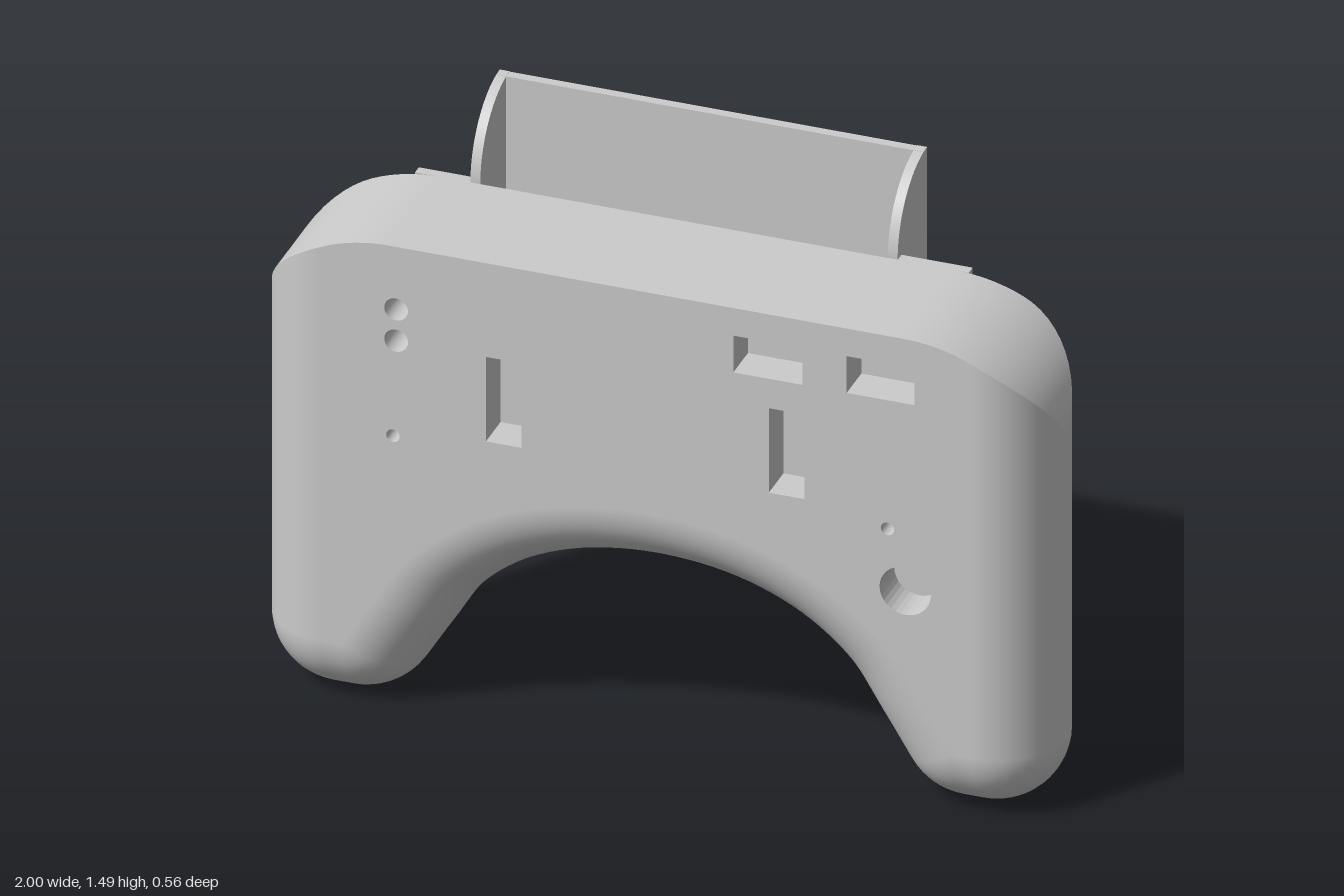
import * as THREE from 'three';

const R = 0.177, ZC = 0.098, FRONT = ZC + R, BACK = ZC - R; // body edge radius and depth
const SX = 1 - R;                                            // where the side rounding starts
const TOP = 1.285;
const STEPS = 24;

const grey = (side = THREE.FrontSide) => new THREE.MeshStandardMaterial({ color: 0xcccccc, side });

function add(parent, name, geometry, side) {
  const mesh = new THREE.Mesh(geometry, grey(side));
  mesh.name = name;
  parent.add(mesh);
  return mesh;
}

// Height of the body's top edge: flat, with elliptical corners
function topY(x) {
  const u = Math.max(0, Math.abs(x) - 0.65) / 0.35;
  return 1 + 0.285 * Math.sqrt(Math.max(0, 1 - u * u));
}

// Smooth surface from rows of points; fn(i, j) returns [x, y, z, nx, ny, nz]
function grid(rows, cols, fn) {
  const pos = [], nor = [], idx = [];
  for (let i = 0; i < rows; i++) {
    for (let j = 0; j < cols; j++) {
      const v = fn(i, j);
      pos.push(...v.slice(0, 3));
      nor.push(...v.slice(3));
      if (i < rows - 1 && j < cols - 1) {
        const a = i * cols + j, b = a + cols;
        idx.push(a, a + 1, b, b, a + 1, b + 1);
      }
    }
  }
  const g = new THREE.BufferGeometry();
  g.setAttribute('position', new THREE.Float32BufferAttribute(pos, 3));
  g.setAttribute('normal', new THREE.Float32BufferAttribute(nor, 3));
  g.setIndex(idx);
  return g;
}

// Edge of the flat faces with outward normals: right side, foot, arch, then mirrored
function facePath() {
  const half = [{ x: SX, y: TOP, nx: 1, ny: 0, top: true }];
  const fan = (x, y, from, to, n) => {
    for (let i = 0; i <= n; i++) {
      const a = from + (to - from) * i / n;
      half.push({ x, y, nx: Math.cos(a), ny: Math.sin(a) });
    }
  };
  const arch = new THREE.CatmullRomCurve3([
    [0.77, R], [0.70, 0.29], [0.60, 0.44], [0.44, 0.57], [0.24, 0.652], [0, 0.682], [-0.24, 0.652],
  ].map(([x, y]) => new THREE.Vector3(x, y, 0)));
  const t0 = arch.getTangent(0);
  fan(SX, R, 0, -Math.PI / 2, 12);
  fan(0.77, R, -Math.PI / 2, Math.atan2(-t0.x, t0.y) - Math.PI, 8);
  // keep the fan turning the short way round
  half.splice(-9);
  const end = Math.atan2(t0.x, -t0.y);
  fan(0.77, R, -Math.PI / 2, end > 0 ? end - 2 * Math.PI : end, 8);
  const n = 30;
  for (let i = 1; i <= n; i++) {
    const t = (5 / 6) * i / n, p = arch.getPoint(t), d = arch.getTangent(t);
    half.push({ x: p.x, y: p.y, nx: d.y, ny: -d.x });
  }
  // outward means below the arch
  for (const p of half.slice(-n)) if (p.ny > 0) { p.nx *= -1; p.ny *= -1; }
  for (const p of half.slice(-n - 9, -n)) if (p.ny > 0) { p.nx *= -1; p.ny *= -1; }
  const mirrored = half.slice(0, -1).reverse().map(p => ({ ...p, x: -p.x, nx: -p.nx }));
  return [...half, ...mirrored];
}

const rectPath = (cx, cy, w, h, s = 1) => new THREE.Shape([
  [-w, -h], [w, -h], [w, h], [-w, h],
].map(([x, y]) => new THREE.Vector2(s * cx + x / 2, cy + y / 2)));

const circlePath = (cx, cy, r, s = 1) => new THREE.Shape().absarc(s * cx, cy, r, 0, Math.PI * 2);

const SCREWS = [[-0.64, 0.77], [0.61, 0.76]];
const SCREW_R = 0.017;

const pockets = () => [
  ['leftSlot', rectPath(0.355, 0.915, 0.09, 0.23)],
  ['rightSlot', rectPath(-0.36, 0.915, 0.09, 0.23)],
  ['innerPort', rectPath(0.308, 1.16, 0.175, 0.1)],
  ['outerPort', rectPath(0.593, 1.16, 0.172, 0.1)],
  ['upperLightHole', circlePath(-0.632, 1.115, 0.03)],
  ['lowerLightHole', circlePath(-0.632, 1.03, 0.03)],
  ['stickHole', circlePath(0.655, 0.6, 0.065)],
];

function makeBody() {
  const body = new THREE.Group();
  body.name = 'body';
  const path = facePath();

  // Full-round rim around the sides, feet and arch, cut off by the top edge
  add(body, 'roundedRim', grid(path.length, STEPS + 1, (i, j) => {
    const p = path[i], a = -Math.PI / 2 + Math.PI * j / STEPS, c = Math.cos(a);
    const x = p.x + p.nx * R * c;
    const y = p.top ? topY(x) : p.y + p.ny * R * c;
    return [x, y, ZC + R * Math.sin(a), p.nx * c, p.ny * c, Math.sin(a)];
  }));

  // Top surface, narrowing to a point at each end
  const right = [];
  for (let k = 0; k <= 8; k++) right.push([0.65 + (SX - 0.65) * k / 8, R]);
  for (let k = 1; k <= STEPS / 2; k++) {
    const a = Math.PI * k / STEPS;
    right.push([SX + R * Math.sin(a), R * Math.cos(a)]);
  }
  const top = [...right.map(([x, h]) => [-x, h]).reverse(), ...right];
  add(body, 'topSurface', grid(top.length, 2, (i, j) => {
    const [x, h] = top[i];
    const u = Math.max(0, Math.abs(x) - 0.65) / 0.35;
    const n = new THREE.Vector2(Math.sign(x) * u / 0.35, Math.sqrt(Math.max(0, 1 - u * u)) / 0.285).normalize();
    return [x, topY(x), ZC + (j ? h : -h), n.x, n.y, 0];
  }));

  // Flat front and back faces with their openings
  const outline = path.map(p => new THREE.Vector2(p.x, p.top ? topY(p.x) : p.y))
    .filter((p, i, all) => i === 0 || p.distanceTo(all[i - 1]) > 1e-5);
  for (let k = 7; k >= 0; k--) outline.push(new THREE.Vector2(-right[k][0], topY(right[k][0])));
  for (let k = 0; k < 8; k++) outline.push(new THREE.Vector2(right[k][0], topY(right[k][0])));
  for (const s of [1, -1]) {
    const shape = new THREE.Shape(outline);
    shape.holes = SCREWS.map(([x, y]) => circlePath(x, y, SCREW_R, s));
    if (s > 0) shape.holes.push(...pockets().map(p => p[1]));
    const g = new THREE.ShapeGeometry(shape, 16);
    if (s < 0) g.rotateY(Math.PI);
    g.translate(0, 0, s > 0 ? FRONT : BACK);
    add(body, s > 0 ? 'frontFace' : 'backFace', g);
  }

  // Recesses seen from inside, and the screw holes running right through
  for (const [name, shape] of pockets()) {
    const g = new THREE.ExtrudeGeometry(shape, { depth: 0.1, bevelEnabled: false, curveSegments: 16 });
    add(body, name, g.translate(0, 0, FRONT - 0.1), THREE.BackSide);
  }
  for (const [x, y] of SCREWS) {
    const g = new THREE.CylinderGeometry(SCREW_R, SCREW_R, 2 * R, 32, 1, true).rotateX(Math.PI / 2);
    add(body, 'screwHole', g.translate(x, y, ZC), THREE.BackSide);
  }
  return body;
}

function makeCover() {
  const cover = new THREE.Group();
  cover.name = 'rearHolder';
  const x0 = -0.575, x1 = 0.505, bottom = 0.69, back = -0.28, wall = 0.025;
  const w = x1 - x0, mid = (x0 + x1) / 2;

  // Side walls with a quarter-round upper front corner
  const profile = new THREE.Shape();
  profile.moveTo(-BACK, bottom);
  profile.lineTo(-back, bottom);
  profile.lineTo(-back, 1.485);
  profile.absarc(-back, 1.285, -back + BACK, Math.PI / 2, Math.PI, false);
  for (const x of [x0, x1 - wall]) {
    const g = new THREE.ExtrudeGeometry(profile, { depth: wall, bevelEnabled: false, curveSegments: 24 });
    add(cover, 'holderSide', g.rotateY(Math.PI / 2).translate(x, 0, 0));
  }
  add(cover, 'holderBack', new THREE.BoxGeometry(w, 1.485 - bottom, wall))
    .position.set(mid, (1.485 + bottom) / 2, back + wall / 2);
  add(cover, 'holderFloor', new THREE.BoxGeometry(w, wall, BACK - back))
    .position.set(mid, bottom + wall / 2, (BACK + back) / 2);

  // Mounting flanges, rounded at the lower outer corner
  [[x0, -0.715, SCREWS[0]], [x1, 0.685, SCREWS[1]]].forEach(([inner, outer, screw]) => {
    const s = Math.sign(outer), r = 0.08;
    const f = new THREE.Shape();
    f.moveTo(inner, TOP);
    f.lineTo(inner, bottom);
    f.lineTo(outer - s * r, bottom);
    f.absarc(outer - s * r, bottom + r, r, -Math.PI / 2, s > 0 ? 0 : -Math.PI, s < 0);
    f.lineTo(outer, TOP);
    f.holes.push(circlePath(...screw, SCREW_R));
    const g = new THREE.ExtrudeGeometry(f, { depth: 0.026, bevelEnabled: false, curveSegments: 16 });
    add(cover, 'mountingFlange', g.translate(0, 0, BACK - 0.026));
  });
  return cover;
}

export function createModel() {
  const model = new THREE.Group();
  model.name = 'gamepad';
  model.add(makeBody(), makeCover());
  return model;
}
